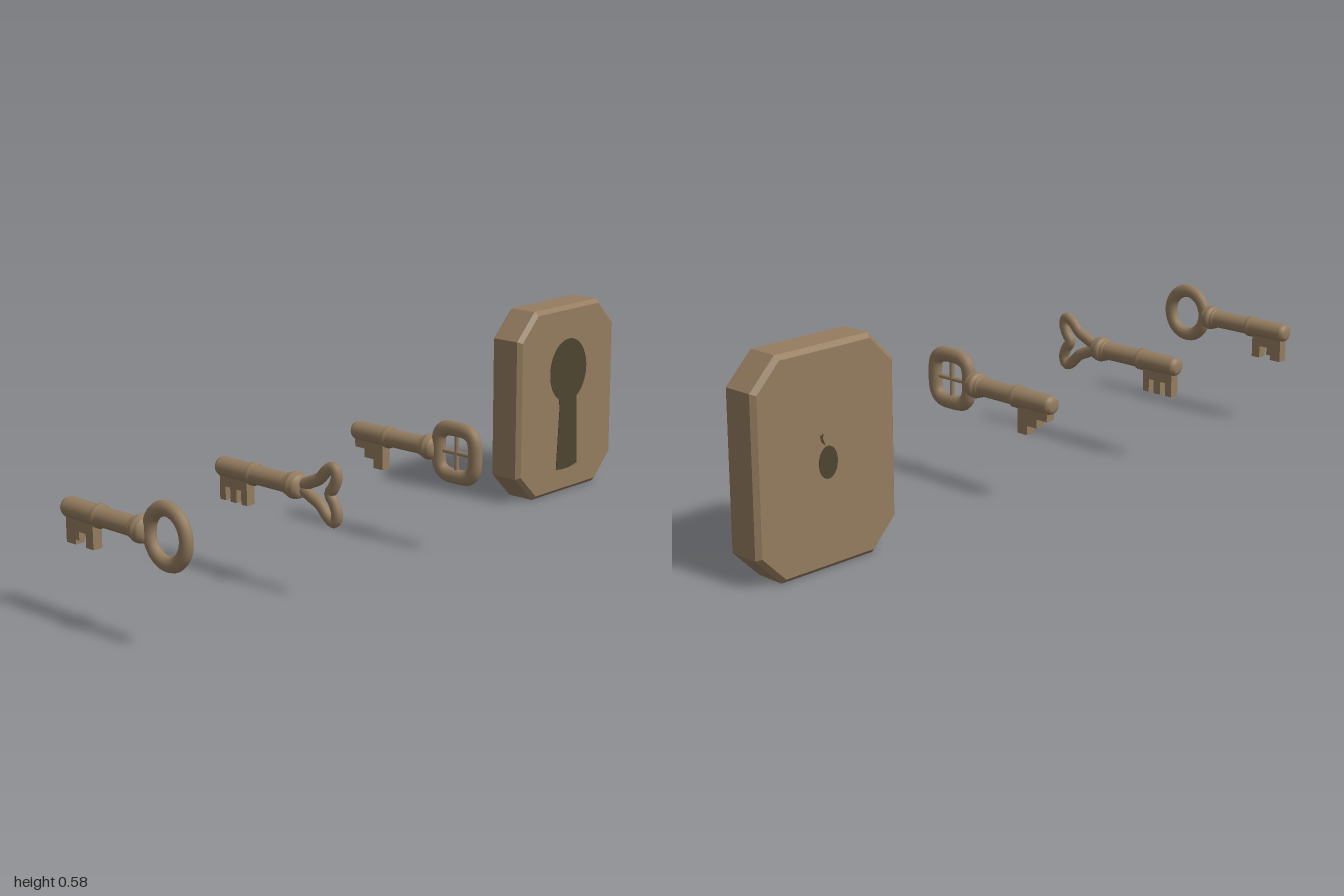
import * as THREE from 'three';

const bronze = new THREE.MeshStandardMaterial({ color: 0x947c5f });
bronze.name = 'bronze';
const dark = new THREE.MeshStandardMaterial({ color: 0x4d4430 });
dark.name = 'keyholeDark';

function add(parent, name, geometry, material = bronze) {
  const mesh = new THREE.Mesh(geometry, material);
  mesh.name = name;
  parent.add(mesh);
  return mesh;
}

const polygon = (pts) => new THREE.Shape(pts.map(([x, y]) => new THREE.Vector2(x, y)));

// Closed tube in the key's plane from [z, y] points, flattened sideways
function bowTube(pts, radius) {
  const curve = new THREE.CatmullRomCurve3(
    pts.map(([z, y]) => new THREE.Vector3(0, y, z)), true, 'centripetal');
  return new THREE.TubeGeometry(curve, 64, radius, 12, true).scale(0.78, 1, 1);
}

// Superellipse loop: power 2 is an oval, higher is squarer
function loop(z, rz, ry, power) {
  const pts = [];
  const f = (v) => Math.sign(v) * Math.pow(Math.abs(v), 2 / power);
  for (let i = 0; i < 24; i++) {
    const a = (i / 24) * Math.PI * 2;
    pts.push([z + rz * f(Math.cos(a)), ry * f(Math.sin(a))]);
  }
  return pts;
}

// Shank with rounded tip, middle band, collar rings and knob
function shankGeometry() {
  const profile = [
    [0, -0.236], [0.014, -0.236], [0.023, -0.231], [0.027, -0.221], [0.027, -0.112],
    [0.031, -0.109], [0.031, -0.097], [0.026, -0.094], [0.026, 0.026],
    [0.030, 0.029], [0.031, 0.034], [0.029, 0.038], [0.034, 0.041], [0.036, 0.047],
    [0.036, 0.054], [0.032, 0.059], [0.034, 0.063], [0.031, 0.071], [0.022, 0.078], [0, 0.081],
  ].map(([r, z]) => new THREE.Vector2(r, z));
  return new THREE.LatheGeometry(profile, 24).rotateX(Math.PI / 2);
}

// Bit plate from [distance behind centre, y] outline
function bitGeometry(outline) {
  return new THREE.ExtrudeGeometry(polygon(outline), { depth: 0.028, bevelEnabled: false })
    .translate(0, 0, -0.014)
    .rotateY(Math.PI / 2);
}

function makeKey(name, x, bowPoints, bowRadius, bitOutline) {
  const key = new THREE.Group();
  key.name = name;
  key.position.set(x, 0.29, 0);
  add(key, 'shank', shankGeometry());
  add(key, 'bow', bowTube(bowPoints, bowRadius));
  add(key, 'bit', bitGeometry(bitOutline));
  return key;
}

export function createModel() {
  const model = new THREE.Group();
  model.name = 'keysAndLock';

  // Oval-bow key with a hooked notch in its bit
  model.add(makeKey('ovalKey', -0.965, loop(0.145, 0.066, 0.069, 2), 0.02, [
    [0.118, -0.01], [0.118, -0.088], [0.146, -0.088], [0.146, -0.052], [0.172, -0.052],
    [0.172, -0.074], [0.186, -0.074], [0.186, -0.088], [0.222, -0.088], [0.222, -0.01]]));

  // Heart-bow key with three teeth
  const half = [[0.105, 0.018], [0.14, 0.035], [0.168, 0.062], [0.19, 0.071], [0.2, 0.052], [0.19, 0.022]];
  const heart = [[0.072, 0], ...half, [0.175, 0], ...half.map(([z, y]) => [z, -y]).reverse()];
  model.add(makeKey('heartKey', -0.45, heart, 0.0165, [
    [0.118, -0.01], [0.118, -0.088], [0.14, -0.088], [0.14, -0.05], [0.158, -0.05],
    [0.158, -0.088], [0.182, -0.088], [0.182, -0.05], [0.2, -0.05],
    [0.2, -0.088], [0.222, -0.088], [0.222, -0.01]]));

  // Square-bow key with crossbars and a stepped bit
  const squareKey = makeKey('squareKey', 0.07, loop(0.148, 0.066, 0.067, 3.4), 0.0215, [
    [0.116, -0.01], [0.116, -0.096], [0.15, -0.096], [0.15, -0.07],
    [0.185, -0.07], [0.185, -0.045], [0.222, -0.045], [0.222, -0.01]]);
  for (const angle of [0, Math.PI / 2]) {
    const bar = add(squareKey, 'bowCrossbar', new THREE.CylinderGeometry(0.0065, 0.0065, 0.12, 10));
    bar.position.z = 0.148;
    bar.rotation.x = angle;
  }
  model.add(squareKey);

  // Lock plate: bevelled octagon
  const lock = new THREE.Group();
  lock.name = 'lock';
  lock.position.set(0.771, 0.289, 0);
  const w = 0.228, h = 0.288, c = 0.079;
  add(lock, 'lockBody', new THREE.ExtrudeGeometry(polygon([
    [-w + c, -h], [w - c, -h], [w, -h + c], [w, h - c],
    [w - c, h], [-w + c, h], [-w, h - c], [-w, -h + c]]), {
    depth: 0.086, bevelThickness: 0.012, bevelSize: 0.012, bevelOffset: -0.012, bevelSegments: 1,
  }).translate(0, 0, -0.118));

  // Front keyhole: round head over a flared slot
  const thin = { depth: 0.003, bevelEnabled: false, curveSegments: 24 };
  const keyhole = new THREE.Shape();
  keyhole.moveTo(-0.048, -0.212);
  keyhole.quadraticCurveTo(0, -0.222, 0.052, -0.208);
  keyhole.lineTo(0.044, 0.012);
  keyhole.absellipse(0.003, 0.09, 0.087, 0.097, -1.05, Math.PI + 1.05, false);
  keyhole.lineTo(-0.036, -0.02);
  keyhole.closePath();
  add(lock, 'keyhole', new THREE.ExtrudeGeometry(keyhole, thin).translate(0, 0, -0.0215), dark);

  // Small worn opening on the back
  const opening = new THREE.Shape().absellipse(0, -0.01, 0.03, 0.042, 0, Math.PI * 2);
  const sliver = polygon([[0.008, 0.035], [0.02, 0.045], [0.024, 0.062], [0.013, 0.066], [0.017, 0.056]]);
  for (const shape of [opening, sliver]) {
    add(lock, 'backOpening', new THREE.ExtrudeGeometry(shape, thin).translate(0, 0, -0.1315), dark);
  }
  model.add(lock);
  return model;
}
